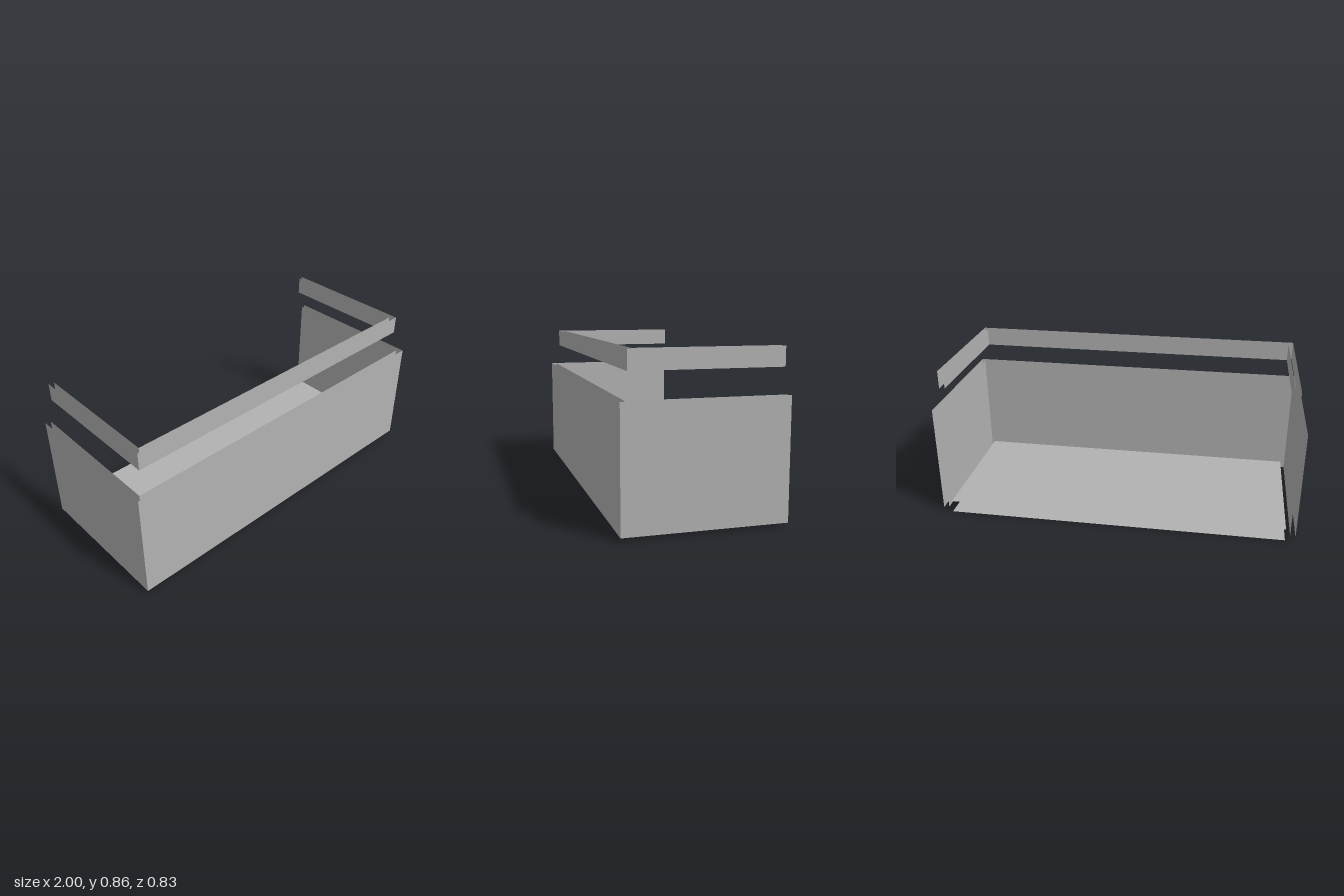
import * as THREE from 'three';

const grey = new THREE.MeshStandardMaterial({ color: 0xb2b2b2, side: THREE.DoubleSide });
grey.name = 'plain grey';

// One flat sheet, turned and placed.
function sheet(name, w, h, pos, rot = [0, 0, 0]) {
  const mesh = new THREE.Mesh(new THREE.PlaneGeometry(w, h), grey);
  mesh.name = name;
  mesh.position.set(...pos);
  mesh.rotation.set(...rot);
  return mesh;
}

// Three upright sheets: a front and two sides, open at the back.
function uShell(name, halfX, front, back, y0, y1) {
  const g = new THREE.Group();
  g.name = name;
  const h = y1 - y0, y = (y0 + y1) / 2;
  g.add(sheet('frontSheet', 2 * halfX, h, [0, y, front]));
  for (const s of [1, -1]) {
    g.add(sheet(s > 0 ? 'leftSheet' : 'rightSheet', front - back, h,
      [s * halfX, y, (front + back) / 2], [0, s * Math.PI / 2, 0]));
  }
  return g;
}

// Outer and inner shells make a hollow wall without caps.
function hollowWall(name, halfX, front, back, y0, y1) {
  const t = 0.028, short = 0.007;
  const g = new THREE.Group();
  g.name = name;
  g.add(uShell('outerFace', halfX, front, back, y0, y1));
  g.add(uShell('innerFace', halfX - t, front - t, back + short, y0, y1));
  return g;
}

export function createModel() {
  const model = new THREE.Group();
  model.name = 'balcony';

  // Parapet and the handrail floating above it
  model.add(hollowWall('parapet', 1, 0.415, -0.41, 0.018, 0.634));
  model.add(hollowWall('handrail', 0.947, 0.368, -0.4, 0.762, 0.862));

  // Floor slab: underside and walking surface
  const floorZ = (0.36 - 0.418) / 2, depth = 0.36 + 0.418;
  model.add(sheet('floorUnderside', 1.89, depth, [0, 0, floorZ], [Math.PI / 2, 0, 0]));
  model.add(sheet('floorTop', 1.89, depth, [0, 0.069, floorZ], [-Math.PI / 2, 0, 0]));

  return model;
}
